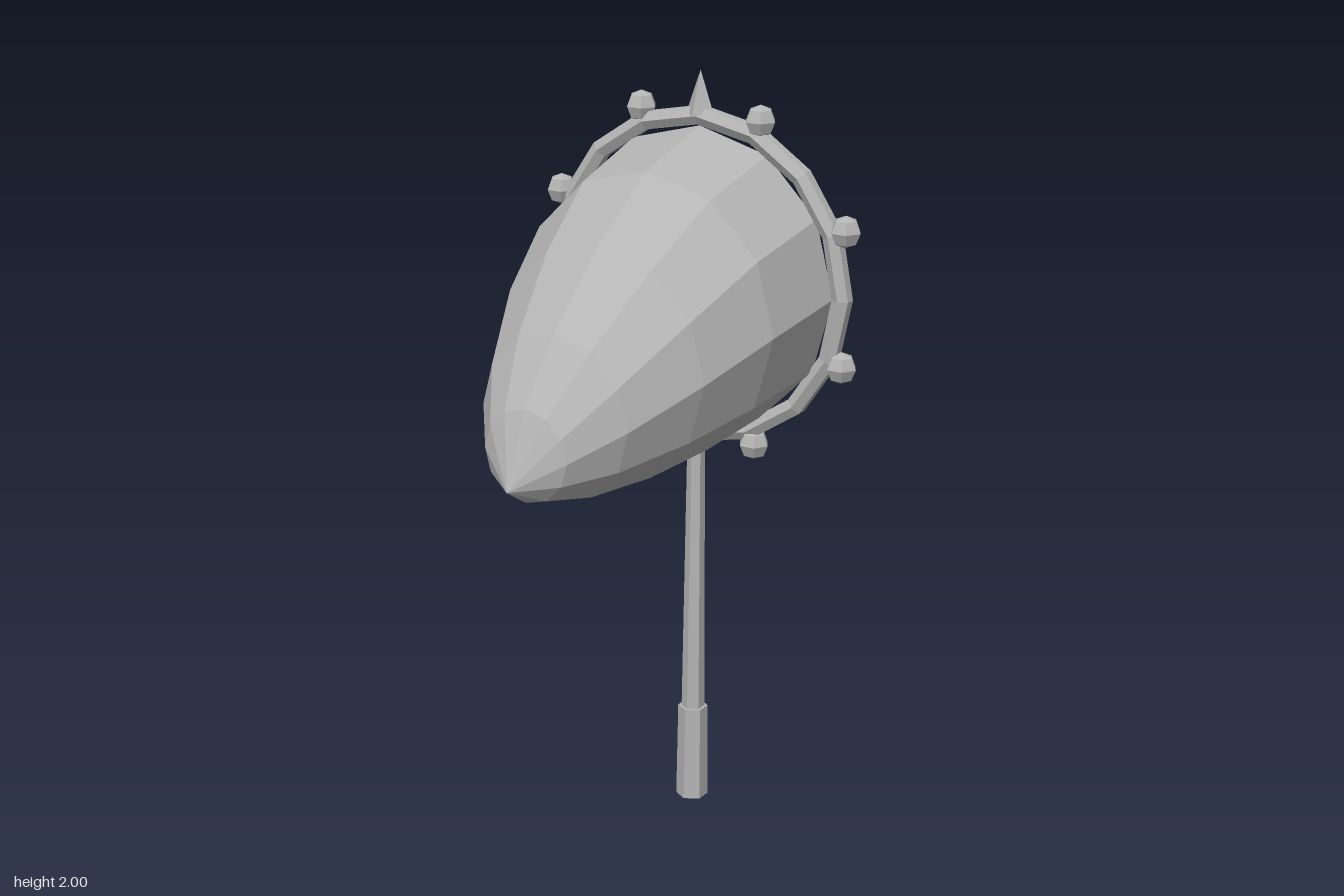
import * as THREE from 'three';

const RING_Z = -0.407, RING_Y = 1.47;

export function createModel() {
  const group = new THREE.Group();
  const grey = new THREE.MeshStandardMaterial({ color: 0xb4b4b4, flatShading: true });
  grey.name = 'grey';
  const greyCloth = new THREE.MeshStandardMaterial({ color: 0xb4b4b4, flatShading: true, side: THREE.DoubleSide });
  greyCloth.name = 'grey cloth';

  const add = (name, geometry, x, y, z, material = grey) => {
    const mesh = new THREE.Mesh(geometry, material);
    mesh.name = name;
    mesh.position.set(x, y, z);
    group.add(mesh);
    return mesh;
  };

  // Six-sided handle: grip and tapering shaft
  add('grip', new THREE.CylinderGeometry(0.04, 0.043, 0.265, 6), 0, 0.1325, RING_Z);
  add('shaft', new THREE.CylinderGeometry(0.023, 0.031, 0.8, 6), 0, 0.645, RING_Z);

  // Hoop: hexagonal section swept around 16 sides
  const section = [];
  for (let i = 0; i <= 6; i++) {
    const a = -Math.PI / 6 + (i * Math.PI) / 3;
    section.push(new THREE.Vector2(0.417 + 0.0265 * Math.cos(a), 0.0265 * Math.sin(a)));
  }
  add('hoop', new THREE.LatheGeometry(section, 16).rotateX(Math.PI / 2), 0, RING_Y, RING_Z);

  // Eight studs around the hoop, and the spike on top
  for (let i = 0; i < 8; i++) {
    const a = ((i + 0.5) * Math.PI) / 4;
    add('stud', new THREE.SphereGeometry(0.041, 6, 4),
      0.455 * Math.cos(a), RING_Y + 0.455 * Math.sin(a), RING_Z);
  }
  add('spike', new THREE.ConeGeometry(0.04, 0.11, 4), 0, 1.945, RING_Z);

  // Sagging net bag: rings of [z, centre y, radius], closing to a point
  const rings = [
    [-0.405, 1.468, 0.392], [-0.155, 1.425, 0.367], [0.055, 1.351, 0.301],
    [0.245, 1.27, 0.209], [0.367, 1.209, 0.117], [0.445, 1.14, 0],
  ];
  const sides = 12, positions = [], index = [];
  rings.forEach(([z, y, r], j) => {
    for (let i = 0; i < sides; i++) {
      const a = (i / sides) * Math.PI * 2;
      positions.push(r * Math.cos(a), y + r * Math.sin(a), z);
      if (j === 0) continue;
      const n = (i + 1) % sides, p = (j - 1) * sides, q = j * sides;
      index.push(p + i, p + n, q + i);
      if (r > 0) index.push(p + n, q + n, q + i);
    }
  });
  const bag = new THREE.BufferGeometry();
  bag.setAttribute('position', new THREE.Float32BufferAttribute(positions, 3));
  bag.setIndex(index);
  bag.computeVertexNormals();
  add('netBag', bag, 0, 0, 0, greyCloth);

  return group;
}
